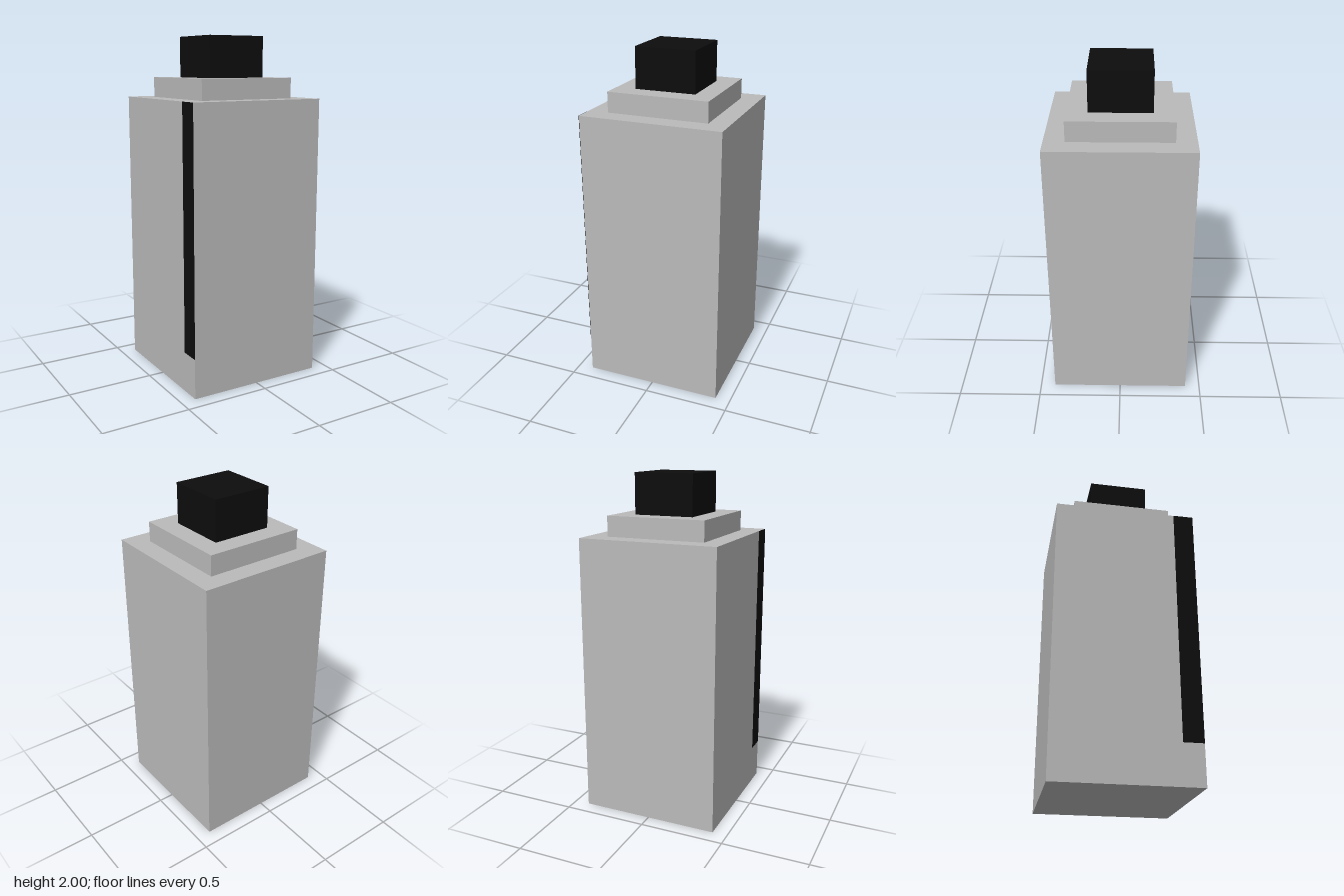
import * as THREE from 'three';

// The whole model sits on a grid of 17 units in height
const U = 2 / 17;

export function createModel() {
  const model = new THREE.Group();
  model.name = 'bottle';

  const grey = new THREE.MeshStandardMaterial({ color: 0xbababa });
  grey.name = 'light grey';
  const black = new THREE.MeshStandardMaterial({ color: 0x0d0d0d });
  black.name = 'black';

  function addBox(name, material, [w, h, d], [x, bottom, z]) {
    const mesh = new THREE.Mesh(new THREE.BoxGeometry(w, h, d), material);
    mesh.name = name;
    mesh.position.set(x, bottom + h / 2, z);
    model.add(mesh);
  }

  // Square body, stepped shoulder and cap
  addBox('body', grey, [7 * U, 14 * U, 7 * U], [0, 0, 0]);
  addBox('shoulder', grey, [5 * U, U, 5 * U], [0, 14 * U, 0]);
  addBox('cap', black, [3 * U, 2 * U, 3 * U], [0, 15 * U, 0]);

  // Dark strip painted on the -x side, along its front edge
  const t = 0.002;
  addBox('sideStripe', black, [t, 12 * U, U], [-3.5 * U - t / 2, 2 * U, 3 * U]);

  return model;
}
